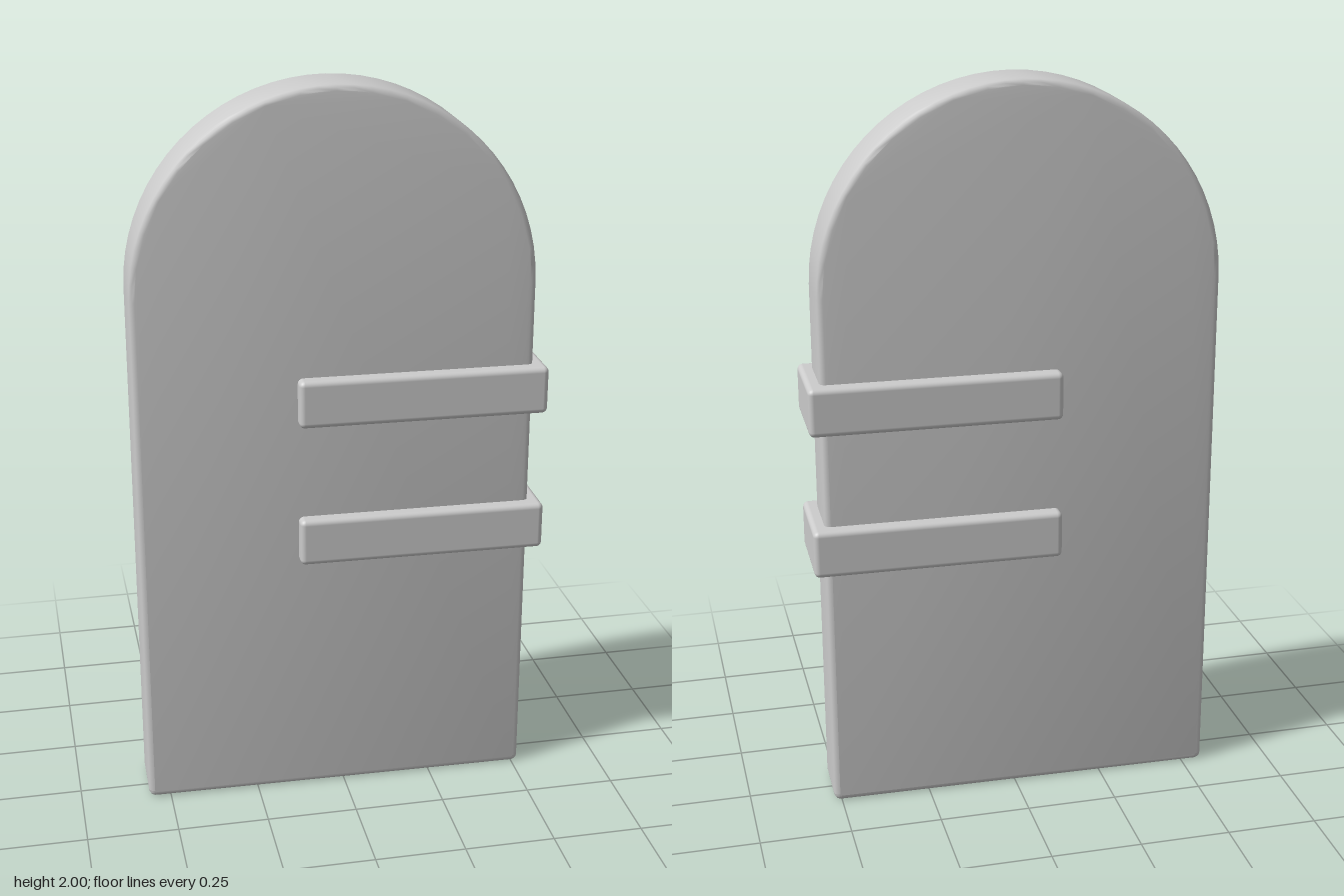
import * as THREE from 'three';
import { RoundedBoxGeometry } from 'three/addons/geometries/RoundedBoxGeometry.js';
import { toCreasedNormals } from 'three/addons/utils/BufferGeometryUtils.js';

const material = new THREE.MeshStandardMaterial({ color: 0xcccccc });

// Slab with a semicircular top, softly bevelled on every edge
function archedPanel(width, height, depth, bevel) {
  const r = width / 2, c = bevel * 1.25;
  const shape = new THREE.Shape();
  shape.moveTo(-r + c, 0);
  shape.lineTo(r - c, 0);
  shape.absarc(r - c, c, c, -Math.PI / 2, 0, false);
  shape.lineTo(r, height - r);
  shape.absarc(0, height - r, r, 0, Math.PI, false);
  shape.lineTo(-r, c);
  shape.absarc(-r + c, c, c, Math.PI, Math.PI * 1.5, false);
  const geometry = new THREE.ExtrudeGeometry(shape, {
    depth: depth - 2 * bevel,
    curveSegments: 18,
    bevelSize: bevel,
    bevelThickness: bevel,
    bevelOffset: -bevel,
    bevelSegments: 3,
  });
  geometry.translate(0, 0, bevel - depth / 2);
  return toCreasedNormals(geometry, 0.7);
}

export function createModel() {
  const door = new THREE.Group();
  door.name = 'archedDoor';

  const panel = new THREE.Mesh(archedPanel(1.08, 2, 0.176, 0.016), material);
  panel.name = 'doorPanel';
  panel.position.set(-0.02, 0, -0.006);
  door.add(panel);

  // Hinge straps wrapping round the left edge
  const strapGeometry = new RoundedBoxGeometry(0.68, 0.132, 0.25, 3, 0.015);
  for (const [name, y] of [['lowerHingeStrap', 0.768], ['upperHingeStrap', 1.165]]) {
    const strap = new THREE.Mesh(strapGeometry, material);
    strap.name = name;
    strap.position.set(0.215, y, -0.003);
    door.add(strap);
  }

  // The door and its straps stand very slightly turned
  for (const part of door.children) part.rotation.y = -0.015;
  return door;
}
